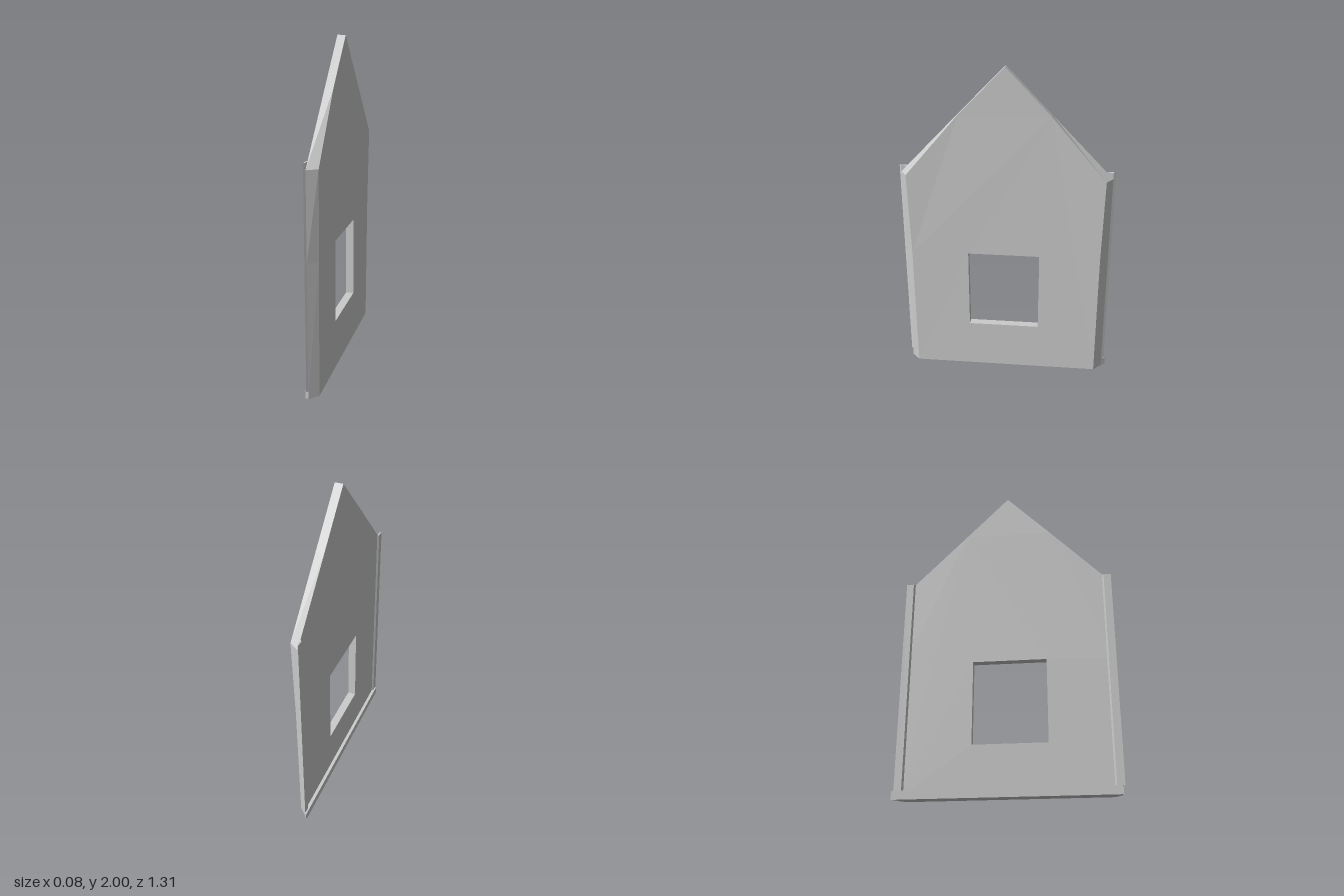
import * as THREE from 'three';

const material = new THREE.MeshStandardMaterial({ color: 0xcccccc, flatShading: true });

// Gabled wall slab, lying across z, with a window opening and tapered inner edges
function gableWall() {
  const back = -0.02, front = 0.03, eave = 1.34, bend = 0.82, midRoof = 1.72;
  const shape = new THREE.Shape([
    [-0.645, 0], [0.63, 0], [0.63, bend], [0.63, eave], [0.262, midRoof],
    [-0.007, 2], [-0.28, midRoof], [-0.645, eave], [-0.645, bend],
  ].map(([u, y]) => new THREE.Vector2(u, y)));
  shape.holes.push(new THREE.Path([
    [-0.24, 0.31], [-0.24, 0.825], [0.205, 0.825], [0.205, 0.31],
  ].map(([u, y]) => new THREE.Vector2(u, y))));

  const geo = new THREE.ExtrudeGeometry(shape, { depth: front - back, bevelEnabled: false });
  geo.rotateY(Math.PI / 2).translate(back, 0, 0);

  // Pull the side edges of the inner face inwards, with a slight swell at the eaves
  const p = geo.attributes.position;
  for (let i = 0; i < p.count; i++) {
    const y = p.getY(i), z = p.getZ(i);
    if (p.getX(i) < 0 || Math.abs(z) < 0.5) continue;
    const atEave = y > 1.3;
    p.setZ(i, z - Math.sign(z) * (atEave ? 0.04 : 0.05));
    p.setX(i, atEave ? 0.04 : y > 0.5 ? 0.034 : front);
  }
  geo.computeVertexNormals();
  return geo;
}

// Upright prism from an [x, z] plan
function prism(plan, y0, y1) {
  const shape = new THREE.Shape(plan.map(([x, z]) => new THREE.Vector2(x, -z)));
  return new THREE.ExtrudeGeometry(shape, { depth: y1 - y0, bevelEnabled: false })
    .rotateX(-Math.PI / 2).translate(0, y0, 0);
}

export function createModel() {
  const group = new THREE.Group();
  const add = (name, geo) => {
    const mesh = new THREE.Mesh(geo, material);
    mesh.name = name;
    group.add(mesh);
  };

  add('gableWall', gableWall());

  // Slim corner strips on the outer face
  add('frontCornerStrip', prism([[-0.02, 0.6], [-0.02, 0.645], [-0.03, 0.655], [-0.03, 0.61]], 0.05, 1.38));
  add('backCornerStrip', prism([[-0.02, -0.59], [-0.02, -0.63], [-0.03, -0.645], [-0.03, -0.6]], 0.05, 1.38));

  // Skirting along the foot of the outer face
  add('skirting', prism([[-0.02, -0.63], [-0.04, -0.655], [-0.04, 0.64], [-0.02, 0.64]], 0, 0.05));

  return group;
}
